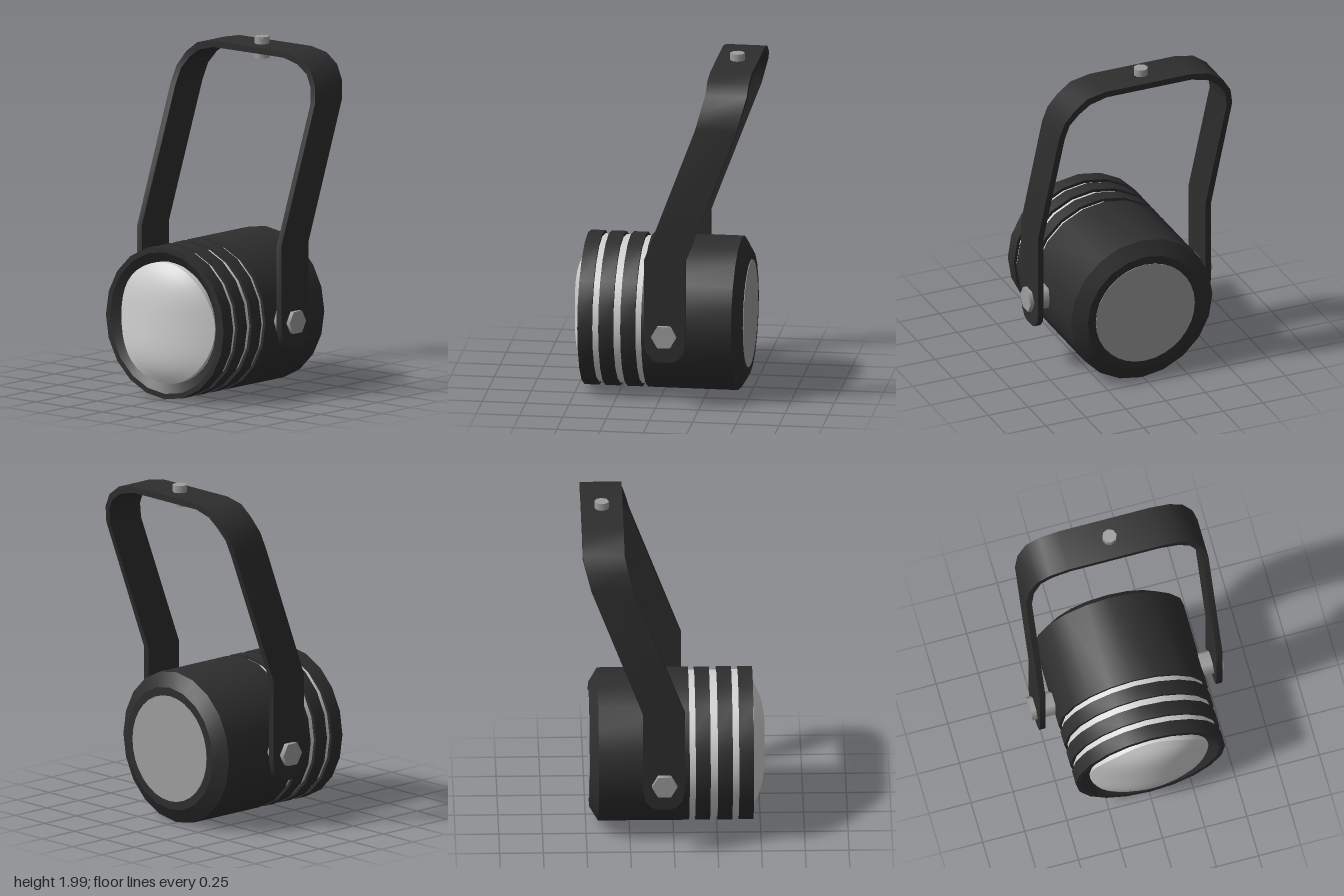
import * as THREE from 'three';
import { toCreasedNormals } from 'three/addons/utils/BufferGeometryUtils.js';

const black = new THREE.MeshStandardMaterial({ color: 0x2e2e2e });
black.name = 'black housing';
const steel = new THREE.MeshStandardMaterial({ color: 0x9e9e9e });
steel.name = 'grey steel';
const glass = new THREE.MeshStandardMaterial({ color: 0xd2d2d2 });
glass.name = 'pale glass';

const CX = 0.008, CY = 0.45, R = 0.443;

function add(parent, name, geometry, material, x = 0, y = 0, z = 0) {
  const mesh = new THREE.Mesh(geometry, material);
  mesh.name = name;
  mesh.position.set(x, y, z);
  parent.add(mesh);
  return mesh;
}

// Turned part along z; the profile lists [radius, z] from back to front
function turned(profile, sides = 20) {
  const g = new THREE.LatheGeometry(profile.map(([r, z]) => new THREE.Vector2(r, z)), sides);
  g.rotateX(Math.PI / 2);
  return toCreasedNormals(g, 0.5);
}

// Domed lens, curved more across than up and down
function lensGeometry() {
  const rim = 0.352, points = [new THREE.Vector2(rim, -1)];
  for (let i = 8; i >= 0; i--) points.push(new THREE.Vector2((rim * i) / 8, 0));
  const g = new THREE.LatheGeometry(points, 40);
  g.rotateX(Math.PI / 2);
  const p = g.attributes.position;
  for (let i = 0; i < p.count; i++) {
    const x = p.getX(i), y = p.getY(i);
    p.setZ(i, p.getZ(i) < -0.5 ? 0.4 : 0.527 - 0.8 * x * x - 4.67 * y ** 4);
  }
  return toCreasedNormals(g, 0.6);
}

// Flat strap bent into an arch and leaned back above the lamp
function yokeGeometry() {
  // outer x, outer y, inner x, inner y, half width
  const half = [
    [0.542, 0.295, 0.507, 0.295, 0.04],
    [0.542, 0.31, 0.507, 0.31, 0.075],
    [0.542, 0.35, 0.507, 0.35, 0.107],
    [0.542, 0.42, 0.507, 0.42, 0.12],
    [0.542, 0.9, 0.507, 0.9, 0.12],
    [0.542, 1.69, 0.507, 1.68, 0.12],
    [0.52, 1.79, 0.488, 1.775, 0.12],
    [0.465, 1.875, 0.44, 1.845, 0.12],
    [0.385, 1.935, 0.37, 1.895, 0.12],
    [0.27, 1.958, 0.265, 1.922, 0.12],
  ];
  const mirrored = half.map(([a, b, c, d, w]) => [-a, b, -c, d, w]).reverse();
  const lean = (y) => {
    if (y < 0.9) return -0.06;
    if (y < 1.7) return -0.06 - 0.375 * (y - 0.9);
    return -0.36 - 0.25 * Math.min(y - 1.7, 0.18);
  };
  const pos = [], index = [];
  const stations = [...half, ...mirrored];
  for (const [ox, oy, ix, iy, w] of stations) {
    const z = lean(oy);
    pos.push(ox, oy, z + w, ox, oy, z - w, ix, iy, z - w, ix, iy, z + w);
  }
  const n = stations.length;
  for (let i = 0; i < n - 1; i++) {
    for (let k = 0; k < 4; k++) {
      const a = i * 4 + k, b = i * 4 + ((k + 1) % 4);
      index.push(a, b, b + 4, a, b + 4, a + 4);
    }
  }
  const e = (n - 1) * 4;
  index.push(0, 2, 1, 0, 3, 2, e, e + 1, e + 2, e, e + 2, e + 3);
  const g = new THREE.BufferGeometry();
  g.setAttribute('position', new THREE.Float32BufferAttribute(pos, 3));
  g.setIndex(index);
  return toCreasedNormals(g, 0.5);
}

export function createModel() {
  const model = new THREE.Group();
  model.name = 'spotlight';

  // Lamp head
  const head = new THREE.Group();
  head.name = 'lampHead';
  head.position.set(CX, CY, 0);
  model.add(head);

  add(head, 'housing', turned([[0, -0.48], [0.36, -0.48], [R, -0.43], [R, 0.09], [0, 0.09]]), black);
  add(head, 'innerBarrel', turned([[0.425, 0.05], [0.425, 0.4], [0, 0.4]]), glass);
  for (const [back, front] of [[0.125, 0.21], [0.252, 0.337]]) {
    add(head, 'coolingRing', turned([[0.4, back], [R, back], [R, front], [0.4, front]]), black);
  }
  add(head, 'frontRim', turned([[0.4, 0.374], [R, 0.374], [R, 0.458], [0.412, 0.458], [0.35, 0.42]]), black);
  add(head, 'lens', lensGeometry(), glass);

  // Rear cover plate
  const plate = new THREE.CylinderGeometry(0.31, 0.31, 0.006, 32);
  plate.rotateX(Math.PI / 2);
  add(head, 'rearPlate', plate, steel, 0, 0, -0.48);

  // Yoke with its pivot bolts and mounting pin
  add(model, 'yoke', yokeGeometry(), black, 0.003);
  const bolt = new THREE.CylinderGeometry(0.073, 0.073, 0.16, 6);
  bolt.rotateZ(Math.PI / 2);
  for (const side of [-1, 1]) add(model, 'pivotBolt', bolt, steel, side * 0.49, CY, -0.057);
  add(model, 'mountingPin', new THREE.CylinderGeometry(0.042, 0.042, 0.124, 8), steel, 0.003, 1.938, -0.406);

  return model;
}
